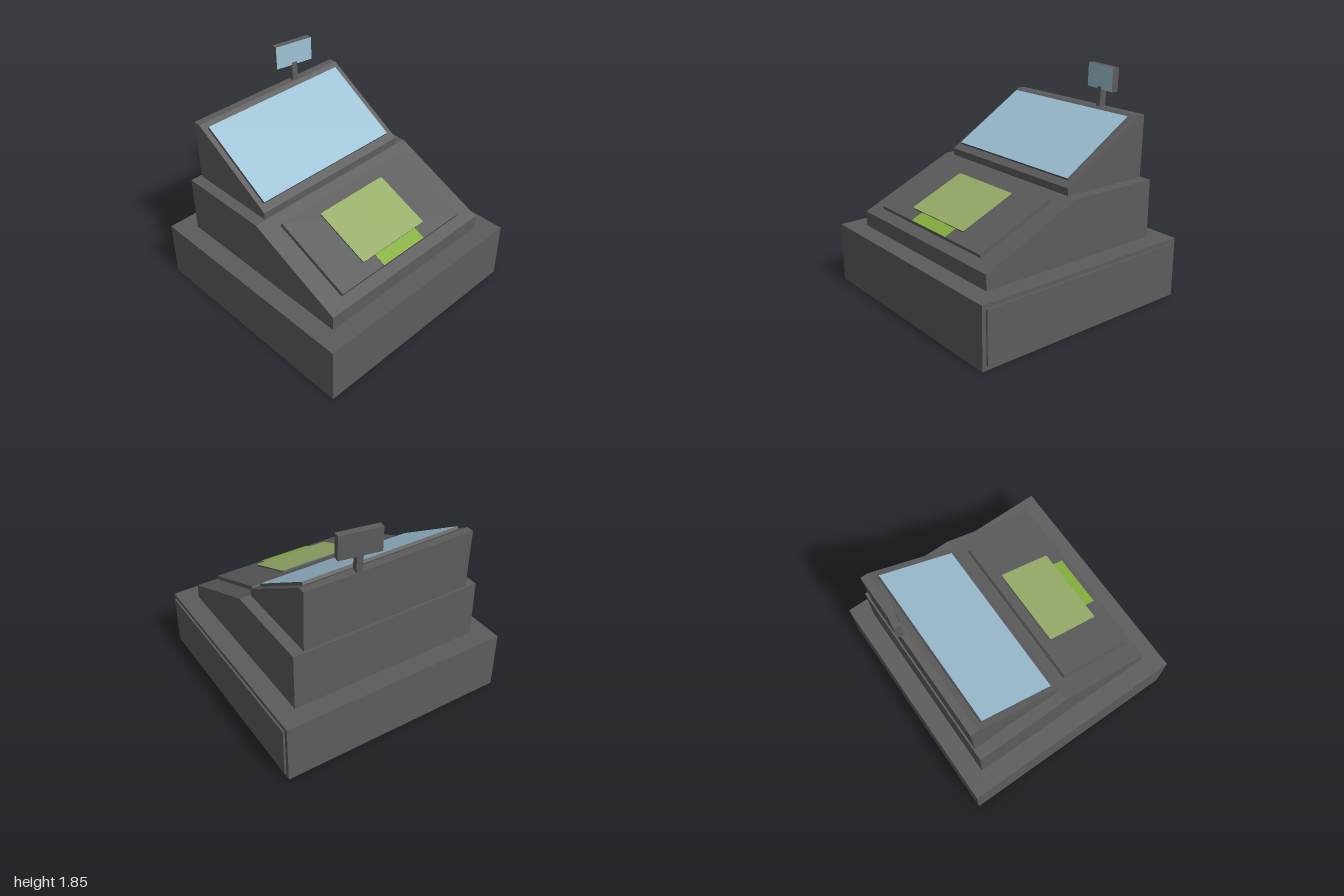
import * as THREE from 'three';

export function createModel() {
  const model = new THREE.Group();
  model.name = 'cashRegister';

  const material = (name, color) => {
    const m = new THREE.MeshStandardMaterial({ color });
    m.name = name;
    return m;
  };
  const casing = material('dark grey casing', 0x5c5c5c);
  const glass = material('pale blue screen', 0x9cc0d3);
  const olive = material('olive keypad', 0x97ad68);
  const green = material('bright green key', 0x87b03f);

  const add = (name, geometry, mat, parent = model) => {
    const mesh = new THREE.Mesh(geometry, mat);
    mesh.name = name;
    parent.add(mesh);
    return mesh;
  };

  // Box given by its minimum and maximum corners
  const block = (name, a, b, mat) => {
    const mesh = add(name, new THREE.BoxGeometry(b[0] - a[0], b[1] - a[1], b[2] - a[2]), mat);
    mesh.position.set((a[0] + b[0]) / 2, (a[1] + b[1]) / 2, (a[2] + b[2]) / 2);
    return mesh;
  };

  // Side profile in x and y, extruded from z0 to z1
  const wedge = (name, points, z0, z1) => {
    const shape = new THREE.Shape(points.map(([x, y]) => new THREE.Vector2(x, y)));
    const geometry = new THREE.ExtrudeGeometry(shape, { depth: z1 - z0, bevelEnabled: false });
    add(name, geometry.translate(0, 0, z0), casing);
  };

  // Sloping plate whose top face runs from point a to point b in x and y
  const slab = (name, a, b, z0, z1, thickness, mat, radius = 0) => {
    const dx = b[0] - a[0], dy = b[1] - a[1];
    const u = Math.hypot(dx, dy) / 2, v = (z1 - z0) / 2, r = radius;
    const shape = new THREE.Shape();
    if (r > 0) {
      shape.absarc(u - r, v - r, r, 0, Math.PI / 2);
      shape.absarc(-u + r, v - r, r, Math.PI / 2, Math.PI);
      shape.absarc(-u + r, -v + r, r, Math.PI, Math.PI * 1.5);
      shape.absarc(u - r, -v + r, r, Math.PI * 1.5, Math.PI * 2);
    } else {
      shape.moveTo(-u, -v).lineTo(u, -v).lineTo(u, v).lineTo(-u, v);
    }
    const geometry = new THREE.ExtrudeGeometry(shape, { depth: thickness, bevelEnabled: false, curveSegments: 4 });
    geometry.translate(0, 0, -thickness).rotateX(-Math.PI / 2);
    const mesh = add(name, geometry, [mat, casing]);
    mesh.rotation.z = Math.atan2(dy, dx);
    mesh.position.set((a[0] + b[0]) / 2, (a[1] + b[1]) / 2, (z0 + z1) / 2);
  };

  // Base with the drawer front at the back
  block('base', [-0.985, 0, -0.985], [0.985, 0.505, 1], casing);
  block('drawerFront', [-0.95, 0.035, -1], [0.95, 0.47, -0.98], casing);

  // Stepped housings
  wedge('lowerHousing', [[-0.825, 0.5], [0.825, 0.5], [0.825, 0.63], [-0.01, 1], [-0.825, 0.995]], -0.825, 0.84);
  wedge('upperHousing', [[-0.81, 0.98], [-0.02, 0.98], [-0.02, 1.06], [-0.76, 1.51], [-0.825, 1.51]], -0.73, 0.745);

  // Main screen and keypad
  slab('mainScreen', [-0.70, 1.503], [-0.067, 1.115], -0.67, 0.70, 0.03, glass);
  slab('keypadPanel', [0.095, 0.99], [0.757, 0.708], -0.66, 0.675, 0.035, casing);
  slab('keypad', [0.19, 0.962], [0.662, 0.761], -0.33, 0.36, 0.012, olive, 0.015);
  slab('keypadTab', [0.65, 0.757], [0.759, 0.7105], -0.23, 0.23, 0.005, green);

  // Small customer display on a leaning post
  const post = block('displayPost', [-0.828, 1.48, -0.30], [-0.772, 1.67, -0.25], casing);
  post.rotation.set(0, -0.17, 0.06);
  const display = block('customerDisplay', [-0.838, 1.65, -0.448], [-0.782, 1.848, -0.108],
    [glass, casing, casing, casing, casing, casing]);
  display.rotation.set(0, -0.17, 0.03);

  return model;
}
